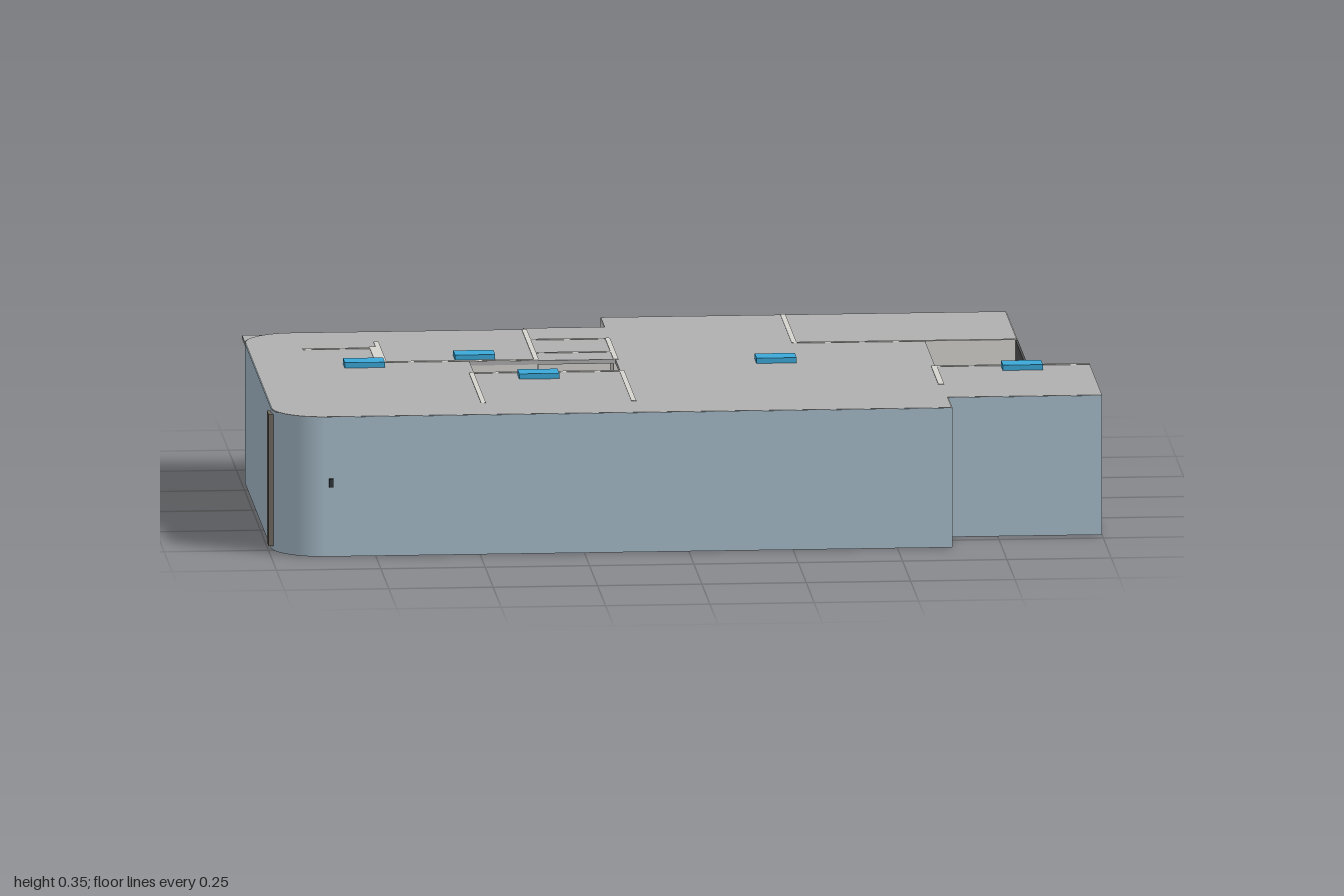
import * as THREE from 'three';

const H = 0.34, T = 0.014;
const mats = {};
const mat = (color) => (mats[color] ??= new THREE.MeshStandardMaterial({ color, side: THREE.DoubleSide }));
const BLUE = 0xa8bdcb, LIGHT = 0xd5d4ce, ROOF = 0xb0b0b0, FLOOR = 0xd8ccba, DARK = 0x505050,
  METAL = 0x33373a, AC = 0x3ba8d8, WOOD = 0x7a5c3a, DOOR = 0x8a4a22;

export function createModel() {
  const root = new THREE.Group();

  const add = (name, geo, color, parent = root) => {
    const m = new THREE.Mesh(geo, mat(color));
    m.name = name;
    parent.add(m);
    return m;
  };
  // Box given by its limits on each axis
  const block = (name, color, x0, x1, y0, y1, z0, z1, parent = root) => {
    const m = add(name, new THREE.BoxGeometry(x1 - x0, y1 - y0, z1 - z0), color, parent);
    m.position.set((x0 + x1) / 2, (y0 + y1) / 2, (z0 + z1) / 2);
    return m;
  };
  // Flat slab from a plan shape (shape y = -z)
  const slab = (name, shape, color, y0, y1) => {
    const g = new THREE.ExtrudeGeometry(shape, { depth: y1 - y0, bevelEnabled: false, curveSegments: 16 });
    g.rotateX(-Math.PI / 2);
    return add(name, g, color).position.setY(y0);
  };

  // Plan outline with two rounded corners
  const plan = () => {
    const s = new THREE.Shape();
    s.moveTo(-0.87, -0.59);
    [[0.63, 0.59], [0.63, 0.46], [1, 0.46], [1, 0.07], [0.63, 0.07], [0.63, -0.24], [0.85, -0.24],
      [0.85, -0.595], [-0.12, -0.595], [-0.12, -0.46], [-0.87, -0.46]].forEach(([x, z]) => s.lineTo(x, -z));
    s.absarc(-0.87, 0.34, 0.12, Math.PI / 2, Math.PI, false);
    s.lineTo(-0.99, -0.47);
    s.absarc(-0.87, -0.47, 0.12, Math.PI, Math.PI * 1.5, false);
    return s;
  };
  slab('floor', plan(), FLOOR, 0, 0.008);
  const roofPlan = plan();
  const hole = new THREE.Path();
  hole.moveTo(-0.475, 0.07);
  [[-0.125, 0.07], [-0.125, -0.07], [-0.475, -0.07]].forEach(([x, y]) => hole.lineTo(x, y));
  roofPlan.holes.push(hole);
  slab('roof', roofPlan, ROOF, H - 0.01, H);
  block('loweredHallCeiling', ROOF, -0.48, -0.12, 0.28, 0.29, -0.075, 0.075);
  block('balconyRoof', ROOF, -0.315, -0.12, H - 0.01, H, -0.475, -0.455);

  // Roof plate reaching past the rounded back corner
  const tip = new THREE.Shape();
  tip.moveTo(-0.99, 0.34);
  tip.lineTo(-0.99, 0.46);
  tip.lineTo(-0.87, 0.46);
  tip.absarc(-0.87, 0.34, 0.12, Math.PI / 2, Math.PI, false);
  slab('cornerPlate', tip, ROOF, H - 0.012, H - 0.004);

  // Painted outer walls
  const Y = H - 0.001;
  block('frontWall', BLUE, -0.87, 0.63, 0, Y, 0.59 - T, 0.592);
  block('annexFrontWall', BLUE, 0.63, 1, 0, Y, 0.46 - T, 0.462);
  block('sideWall', BLUE, -0.992, -0.99 + T, 0, Y, -0.34, 0.47);
  block('backWall', BLUE, -0.87, -0.31, 0, Y, -0.462, -0.46 + T);
  block('kitchenBackWall', BLUE, -0.12, 0.32, 0, Y, -0.597, -0.595 + T);
  [[0.47, -Math.PI / 2], [-0.34, Math.PI]].forEach(([z, start]) => {
    const g = new THREE.CylinderGeometry(0.122, 0.122, Y, 20, 1, true, start, Math.PI / 2);
    add('roundedCornerWall', g, BLUE).position.set(-0.87, Y / 2, z);
  });

  // Plain outer walls
  block('frontReturnWall', LIGHT, 0.63 - T, 0.632, 0, Y, 0.44, 0.59);
  block('annexSideWall', LIGHT, 1 - T, 1.0, 0, Y, 0.07, 0.46);
  block('terraceSideWall', LIGHT, 0.85 - T, 0.852, 0, Y, -0.595, -0.24);
  block('shaftWall', LIGHT, 0.63 - T, 0.63, 0, Y, -0.24, 0.07);
  block('balconySideWall', LIGHT, -0.12, -0.12 + T, 0, Y, -0.595, -0.33);
  block('shaftScreen', DARK, 0.846, 0.852, 0, H, -0.24, 0.07);

  // Inner walls, whose tops show as light strips in the roof
  const inner = new THREE.Group();
  inner.name = 'innerWalls';
  root.add(inner);
  [[-0.487, -0.475, 0.07, 0.45], [-0.127, -0.115, 0.07, 0.45], [-0.48, -0.12, 0.067, 0.08],
    [-0.685, -0.673, -0.33, -0.08], [-0.70, -0.685, -0.27, -0.11], [-0.86, -0.69, -0.258, -0.246],
    [-0.68, -0.31, -0.085, -0.072], [-0.32, -0.308, -0.46, -0.08], [-0.31, -0.12, -0.335, -0.323],
    [-0.13, -0.118, -0.33, -0.07], [-0.31, -0.12, -0.17, -0.16], [0.31, 0.322, -0.595, -0.24],
    [0.315, 0.85, -0.25, -0.238], [0.63, 1, 0.068, 0.08], [0.62, 0.634, 0.07, 0.3]]
    .forEach(([x0, x1, z0, z1]) => block('innerWall', LIGHT, x0, x1, 0.004, H + 0.001, z0, z1, inner));

  // Boxed pillar and small fitting on the outside
  block('cornerPanel', 0x6f6a60, -1, -0.988, 0.01, 0.33, 0.45, 0.5);
  block('wallFitting', METAL, -0.862, -0.852, 0.17, 0.19, 0.59, 0.6);

  // Framed windows and doors
  const opening = (name, x, z, y0, w, h, alongZ, glass = 0x59636c) => {
    const g = new THREE.Group();
    g.name = name;
    block('pane', glass, -w / 2, w / 2, 0, h, -0.004, 0.004, g);
    for (const sx of [-w / 2, 0, w / 2]) block('upright', METAL, sx - 0.004, sx + 0.004, 0, h, -0.007, 0.007, g);
    for (const sy of [0, h]) block('crossbar', METAL, -w / 2, w / 2, sy - 0.004, sy + 0.004, -0.007, 0.007, g);
    g.position.set(x, y0, z);
    if (alongZ) g.rotation.y = Math.PI / 2;
    root.add(g);
  };
  opening('terraceDoor', 0.5, -0.253, 0.012, 0.18, 0.24, false);
  opening('terraceWindow', 0.75, -0.253, 0.12, 0.12, 0.13, false);
  opening('terraceSideWindow', 0.325, -0.42, 0.1, 0.14, 0.15, true);
  opening('shaftWindow', 0.74, -0.236, 0.12, 0.12, 0.14, false);
  block('balconyDoor', DOOR, -0.265, -0.165, 0.01, 0.25, -0.345, -0.335);
  block('terraceBench', WOOD, 0.7, 0.82, 0.07, 0.085, -0.33, -0.26);
  for (const x of [0.705, 0.805]) block('benchLeg', WOOD, x, x + 0.01, 0.008, 0.07, -0.33, -0.26);

  // Rounded balcony
  const balcony = new THREE.Shape();
  balcony.moveTo(-0.12, 0.33);
  balcony.lineTo(-0.12, 0.595);
  balcony.lineTo(-0.188, 0.595);
  balcony.absarc(-0.188, 0.47, 0.125, Math.PI / 2, Math.PI, false);
  balcony.lineTo(-0.313, 0.33);
  slab('balconyFloor', balcony, FLOOR, 0, 0.008);

  // Railings: posts and two rails along a run of plan points
  const railing = (name, pts, count) => {
    const g = new THREE.Group();
    g.name = name;
    root.add(g);
    const path = new THREE.CurvePath();
    for (let i = 1; i < pts.length; i++) path.add(new THREE.LineCurve3(pts[i - 1], pts[i]));
    for (let i = 0; i <= count; i++) {
      const p = path.getPointAt(i / count);
      block('baluster', METAL, p.x - 0.002, p.x + 0.002, 0, 0.105, p.z - 0.002, p.z + 0.002, g);
    }
    for (const y of [0.015, 0.105]) add('rail', new THREE.TubeGeometry(path, 40, 0.004, 5), METAL, g).position.y = y;
  };
  const v = (x, z) => new THREE.Vector3(x, 0, z);
  railing('terraceRailing', [v(0.324, -0.59), v(0.84, -0.59)], 32);
  const arc = [v(-0.122, -0.59)];
  for (let i = 0; i <= 10; i++) {
    const a = (i / 10) * Math.PI / 2;
    arc.push(v(-0.19 - 0.12 * Math.sin(a), -0.47 - 0.12 * Math.cos(a)));
  }
  railing('balconyRailing', arc, 18);

  // Air conditioning: one outdoor unit and five roof units
  block('outdoorUnit', AC, -0.273, -0.167, 0.008, 0.09, -0.557, -0.519);
  [[-0.73, -0.04], [-0.46, -0.115], [-0.325, 0.13], [0.255, -0.022], [0.835, 0.11]]
    .forEach(([x, z]) => block('roofUnit', AC, x - 0.048, x + 0.048, H - 0.005, H + 0.013, z - 0.029, z + 0.029));

  // Furniture bases set into the floor
  [[0.72, 0.95, 0.1, 0.26, 0x2a2a2a], [0.3, 0.43, 0.1, 0.45, 0x6a8799], [0.18, 0.24, 0.25, 0.31, 0x333333],
    [-0.43, -0.19, 0.2, 0.38, 0x7d7d7d], [-0.64, -0.46, 0.18, 0.38, 0x7d7d7d], [-0.5, -0.33, -0.43, -0.26, 0x7d7d7d],
    [-0.72, -0.2, 0.025, 0.065, WOOD], [-0.56, -0.42, -0.21, -0.16, WOOD], [0.08, 0.28, -0.56, -0.5, 0x3a3530],
    [0.38, 0.44, -0.23, -0.15, 0x333333], [0.16, 0.22, -0.32, -0.24, 0x333333], [-0.81, -0.75, -0.33, -0.27, AC]]
    .forEach(([x0, x1, z0, z1, c]) => block('furnitureBase', c, x0, x1, -0.0005, 0.06, z0, z1));
  for (const [x, z] of [[-0.024, 0.47], [-0.78, 0.44]])
    add('plantPot', new THREE.CylinderGeometry(0.022, 0.018, 0.05, 16), 0xb5623a).position.set(x, 0.0245, z);

  return root;
}
